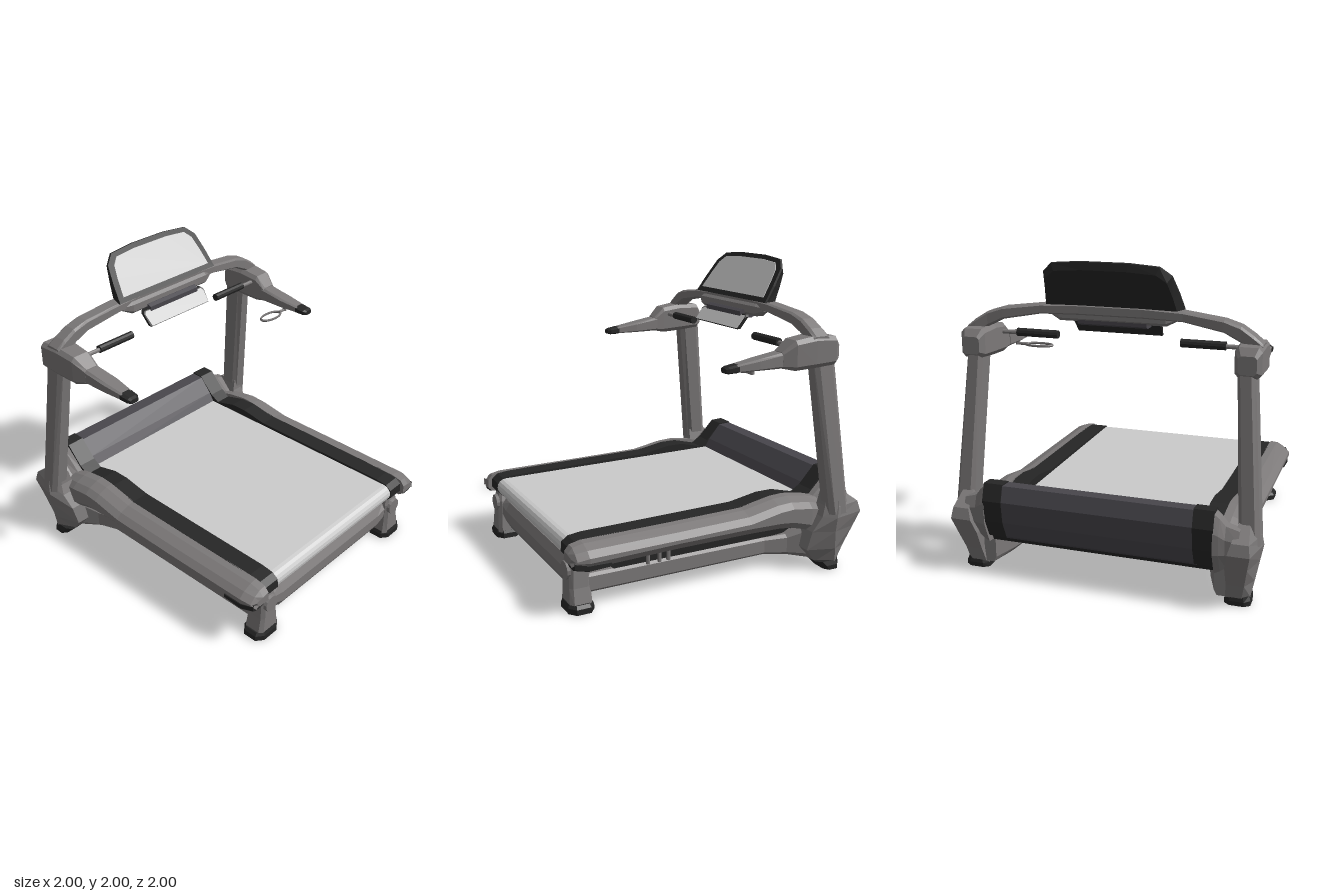
import * as THREE from 'three';

const mat = (color) => new THREE.MeshStandardMaterial({ color, flatShading: true });
const MID = mat(0x7c7979), DARK = mat(0x48464c), BLACK = mat(0x262626), LIGHT = mat(0xcccccc);

// Closed solid through rings of 3D points, capped at both ends
function loft(rings) {
  const tris = [], n = rings[0].length;
  for (let r = 0; r < rings.length - 1; r++) {
    for (let i = 0; i < n; i++) {
      const j = (i + 1) % n;
      const a = rings[r][i], b = rings[r][j], c = rings[r + 1][j], d = rings[r + 1][i];
      tris.push([a, b, c], [a, c, d]);
    }
  }
  const first = rings[0], last = rings[rings.length - 1];
  for (let i = 1; i < n - 1; i++) {
    tris.push([first[0], first[i + 1], first[i]], [last[0], last[i], last[i + 1]]);
  }
  // Turn the faces outwards if the enclosed volume is negative
  let volume = 0;
  for (const [a, b, c] of tris) {
    volume += a[0] * (b[1] * c[2] - b[2] * c[1]) + a[1] * (b[2] * c[0] - b[0] * c[2]) + a[2] * (b[0] * c[1] - b[1] * c[0]);
  }
  if (volume < 0) tris.forEach((t) => t.reverse());
  const g = new THREE.BufferGeometry();
  g.setAttribute('position', new THREE.Float32BufferAttribute(tris.flat(2), 3));
  g.computeVertexNormals();
  return g;
}

// Rectangle with cut corners
function oct(a0, a1, b0, b1, k = 0.22) {
  const u = (a1 - a0) * k, v = (b1 - b0) * k;
  return [[a0 + u, b0], [a1 - u, b0], [a1, b0 + v], [a1, b1 - v], [a1 - u, b1], [a0 + u, b1], [a0, b1 - v], [a0, b0 + v]];
}

// Sections [position, a0, a1, b0, b1] along an axis: x -> (z,y), y -> (x,z), z -> (x,y)
function beam(axis, sections, k) {
  const place = { x: (p, a, b) => [p, b, a], y: (p, a, b) => [a, p, b], z: (p, a, b) => [a, b, p] }[axis];
  return loft(sections.map(([p, ...s]) => oct(...s, k).map(([a, b]) => place(p, a, b))));
}

// Side profile of [z, y] points swept from x0 to x1
function slab(points, x0, x1) {
  const shape = new THREE.Shape(points.map(([z, y]) => new THREE.Vector2(-z, y)));
  const g = new THREE.ExtrudeGeometry(shape, { depth: x1 - x0, bevelEnabled: false });
  return g.rotateY(Math.PI / 2).translate(x0, 0, 0);
}

function rod(r, x0, x1, y, z) {
  return new THREE.CylinderGeometry(r, r, x1 - x0, 10).rotateZ(Math.PI / 2).translate((x0 + x1) / 2, y, z);
}

function mirrored(geometry) {
  const g = geometry.index ? geometry.toNonIndexed() : geometry.clone();
  g.scale(-1, 1, 1);
  const p = g.attributes.position;
  const a = new THREE.Vector3(), b = new THREE.Vector3();
  for (let i = 0; i < p.count; i += 3) {
    a.fromBufferAttribute(p, i + 1);
    b.fromBufferAttribute(p, i + 2);
    p.setXYZ(i + 1, b.x, b.y, b.z);
    p.setXYZ(i + 2, a.x, a.y, a.z);
  }
  g.computeVertexNormals();
  return g;
}

export function createModel() {
  const model = new THREE.Group();
  model.name = 'treadmill';
  const add = (name, geometry, material) => {
    const mesh = new THREE.Mesh(geometry, material);
    mesh.name = name;
    model.add(mesh);
  };
  const pair = (name, geometry, material) => {
    add(name + 'Left', geometry, material);
    add(name + 'Right', mirrored(geometry), material);
  };

  // Running belt with a rounded front roller, and the pan below it
  const nose = [];
  for (let i = 0; i <= 8; i++) {
    const t = -Math.PI / 2 + (i * Math.PI) / 8;
    nose.push([0.91 + 0.06 * Math.cos(t), 0.375 + 0.06 * Math.sin(t)]);
  }
  add('belt', slab([...nose, [-0.2, 0.445], [-0.76, 0.45], [-0.76, 0.32]], -0.61, 0.61), LIGHT);
  add('underPan', slab([[0.9, 0.33], [0.9, 0.305], [0.76, 0.29], [0.68, 0.22], [-0.88, 0.22], [-0.9, 0.26], [-0.7, 0.33]], -0.72, 0.72), BLACK);

  // Motor hood across the back
  add('motorHood', slab([[-0.72, 0.43], [-0.77, 0.51], [-0.86, 0.615], [-0.95, 0.62], [-0.98, 0.52], [-0.965, 0.38], [-0.92, 0.27], [-0.88, 0.235], [-0.7, 0.235], [-0.6, 0.4]], -0.62, 0.62), DARK);

  // Black foot strips that run up over the hood
  pair('footStrip', slab([
    [0.975, 0.35], [0.97, 0.41], [0.93, 0.44], [0.85, 0.45], [-0.2, 0.465], [-0.4, 0.5], [-0.52, 0.5], [-0.68, 0.46],
    [-0.75, 0.5], [-0.865, 0.623], [-0.95, 0.628], [-0.985, 0.52], [-0.97, 0.38], [-0.92, 0.265], [-0.6, 0.25],
    [-0.5, 0.315], [0.93, 0.305],
  ], 0.61, 0.735), BLACK);

  // Rounded side rails: [z, top, outer x, bottom]
  pair('sideRail', loft([
    [1.0, 0.4, 0.84, 0.34], [0.97, 0.435, 0.862, 0.315], [0.9, 0.45, 0.88, 0.31], [0.3, 0.457, 0.885, 0.325], [-0.2, 0.465, 0.885, 0.325],
    [-0.42, 0.505, 0.885, 0.32], [-0.52, 0.51, 0.885, 0.31], [-0.66, 0.49, 0.885, 0.27], [-0.78, 0.46, 0.87, 0.24],
  ].map(([z, top, x, low]) => [
    [0.73, top, z], [0.78, top - 0.005, z], [x - 0.04, top - 0.03, z], [x, top - 0.065, z],
    [x, low + 0.045, z], [x - 0.035, low, z], [0.73, low, z],
  ])), MID);
  pair('railEndTrim', beam('z', [[0.76, 0.74, 0.868, 0.3, 0.34], [0.9, 0.74, 0.872, 0.292, 0.35], [0.985, 0.74, 0.855, 0.31, 0.37]]), BLACK);

  // Fairing between the hood and the upright
  const fairing = [[-0.72, 0.46], [-0.87, 0.61], [-0.95, 0.61], [-0.985, 0.5], [-0.98, 0.36], [-0.92, 0.22], [-0.7, 0.2]];
  pair('hoodFairing', loft([[0.73, 1], [0.765, 0.88], [0.8, 0.7], [0.88, 0.6]].map(([x, s]) =>
    fairing.map(([z, y]) => [x, 0.36 + (y - 0.36) * s, -0.86 + (z + 0.86) * (0.4 + 0.6 * s)]))), MID);

  // Lower frame, its beams flaring into the upright bases
  pair('frameBeam', beam('z', [
    [0.85, 0.61, 0.73, 0.1, 0.22], [-0.4, 0.61, 0.73, 0.1, 0.215], [-0.55, 0.62, 0.77, 0.085, 0.225],
    [-0.7, 0.66, 0.85, 0.06, 0.3], [-0.86, 0.72, 0.85, 0.05, 0.3],
  ], 0.14), MID);
  add('frontCrossbar', beam('x', [[-0.62, 0.84, 0.945, 0.15, 0.29], [-0.52, 0.84, 0.945, 0.1, 0.28], [0.52, 0.84, 0.945, 0.1, 0.28], [0.62, 0.84, 0.945, 0.15, 0.29]], 0.3), MID);
  for (const z of [0.46, 0.38, 0.32]) {
    pair('frameStud', new THREE.CylinderGeometry(0.013, 0.013, 0.08, 8).translate(0.74, 0.255, z), MID);
  }

  // Front legs with round caps and feet
  pair('frontLeg', beam('y', [[0.04, 0.585, 0.765, 0.83, 0.975], [0.15, 0.595, 0.74, 0.835, 0.97], [0.27, 0.6, 0.73, 0.835, 0.965], [0.33, 0.62, 0.72, 0.84, 0.95]], 0.15), MID);
  pair('legCap', new THREE.CylinderGeometry(0.055, 0.06, 0.02, 14).rotateX(Math.PI / 2).translate(0.665, 0.25, 0.968), MID);
  pair('frontFoot', beam('y', [[0, 0.575, 0.785, 0.82, 0.985], [0.035, 0.575, 0.785, 0.82, 0.985], [0.055, 0.585, 0.77, 0.83, 0.978]]), BLACK);
  pair('rearFoot', beam('y', [[0, 0.78, 0.94, -0.865, -0.75], [0.03, 0.78, 0.94, -0.87, -0.72], [0.06, 0.79, 0.93, -0.865, -0.69]]), BLACK);

  // Upright bases, widest in the middle: [y, inner x, outer x, back z, widest z, front z]
  pair('uprightBase', loft([
    [0.05, 0.79, 0.935, -0.865, -0.82, -0.7], [0.15, 0.8, 0.955, -0.9, -0.8, -0.62], [0.28, 0.8, 0.98, -0.955, -0.78, -0.64],
    [0.38, 0.82, 1.0, -0.995, -0.775, -0.7], [0.45, 0.84, 0.99, -0.975, -0.79, -0.725], [0.53, 0.86, 0.975, -0.865, -0.79, -0.73],
  ].map(([y, xi, xo, zb, zw, zf]) => [[xi, y, zf], [xo - 0.06, y, zf], [xo, y, zw], [xo - 0.045, y, zb], [xi, y, zb]])), MID);
  pair('upright', beam('y', [[0.4, 0.86, 0.99, -0.88, -0.735], [1.45, 0.8, 0.905, -0.77, -0.61]], 0.2), MID);

  // Joint housings, forward arms and grips
  pair('armHousing', beam('z', [
    [-0.785, 0.81, 0.92, 1.4, 1.51], [-0.75, 0.785, 0.945, 1.375, 1.555], [-0.6, 0.78, 0.945, 1.365, 1.565],
    [-0.46, 0.785, 0.935, 1.358, 1.545], [-0.38, 0.79, 0.9, 1.375, 1.475],
  ], 0.14), MID);
  pair('forwardArm', beam('z', [[-0.4, 0.785, 0.9, 1.375, 1.475], [-0.22, 0.78, 0.895, 1.375, 1.445], [-0.07, 0.795, 0.88, 1.375, 1.42]], 0.15), MID);
  pair('armTip', beam('z', [[-0.08, 0.79, 0.885, 1.372, 1.423], [-0.015, 0.795, 0.88, 1.37, 1.413], [0.005, 0.81, 0.87, 1.375, 1.405]]), BLACK);
  pair('handleRod', rod(0.014, 0.66, 0.82, 1.495, -0.5), MID);
  pair('handleGrip', rod(0.026, 0.4, 0.68, 1.498, -0.5), BLACK);

  // Cup ring on the left arm only
  add('cupRing', new THREE.TorusGeometry(0.095, 0.009, 6, 28).rotateX(Math.PI / 2).scale(1, 1, 0.48).translate(0.67, 1.352, -0.205), MID);
  add('cupRingStem', rod(0.01, 0.76, 0.83, 1.352, -0.205), MID);
  add('cupRingPost', new THREE.CylinderGeometry(0.015, 0.015, 0.05, 8).translate(0.825, 1.37, -0.205), MID);

  // Arch joining the uprights
  const half = [
    [0.935, -0.695, -0.58, 1.49, 1.56], [0.88, -0.69, -0.575, 1.5, 1.605], [0.8, -0.68, -0.57, 1.56, 1.655],
    [0.7, -0.675, -0.565, 1.61, 1.685], [0.45, -0.66, -0.55, 1.655, 1.715], [0.2, -0.655, -0.55, 1.66, 1.725],
  ];
  add('topArch', beam('x', [...half.map(([x, ...s]) => [-x, ...s]), ...half.slice().reverse()], 0.15), MID);

  // Console: leaning frame with a bulged back, and the screen
  const frontZ = (y) => -0.55 - 0.68 * (y - 1.72);
  const outline = (pts) => [...pts, ...pts.slice().reverse().map(([x, y]) => [-x, y])];
  const frame = outline([[0.44, 1.715], [0.425, 1.82], [0.4, 1.93], [0.335, 1.985], [0.15, 2.0]]);
  const screen = outline([[0.395, 1.745], [0.375, 1.85], [0.355, 1.92], [0.31, 1.96], [0.15, 1.972]]);
  add('consoleFrame', loft([
    frame.map(([x, y]) => [x, y, frontZ(y)]),
    frame.map(([x, y]) => [x, y - 0.004, frontZ(y) - 0.015]),
    frame.map(([x, y]) => [x * 0.94, 1.715 + (y - 1.715) * 0.82, -0.645 - 0.4 * (y - 1.715)]),
  ]), BLACK);
  add('consoleScreen', loft([0.004, -0.01].map((d) => screen.map(([x, y]) => [x, y, frontZ(y) + d]))), LIGHT);

  // Tray under the console and the small tilted shelf
  add('consoleTray', beam('x', [
    [-0.41, -0.6, -0.56, 1.65, 1.68], [-0.34, -0.63, -0.53, 1.615, 1.7], [0.34, -0.63, -0.53, 1.615, 1.7], [0.41, -0.6, -0.56, 1.65, 1.68],
  ]), MID);
  add('consoleNeck', beam('x', [[-0.22, -0.62, -0.5, 1.59, 1.65], [0.22, -0.62, -0.5, 1.59, 1.65]]), DARK);
  const shelf = outline([[0.265, 1.535], [0.275, 1.6], [0.26, 1.615]]);
  const shelfZ = (y) => -0.445 - 0.85 * (y - 1.535);
  add('shelfBack', loft([0, -0.025].map((d) => shelf.map(([x, y]) => [x * 1.03, y < 1.55 ? y - 0.008 : y + 0.005, shelfZ(y) + d]))), BLACK);
  add('shelfFace', loft([0.006, -0.006].map((d) => shelf.map(([x, y]) => [x, y, shelfZ(y) + d]))), LIGHT);

  return model;
}
